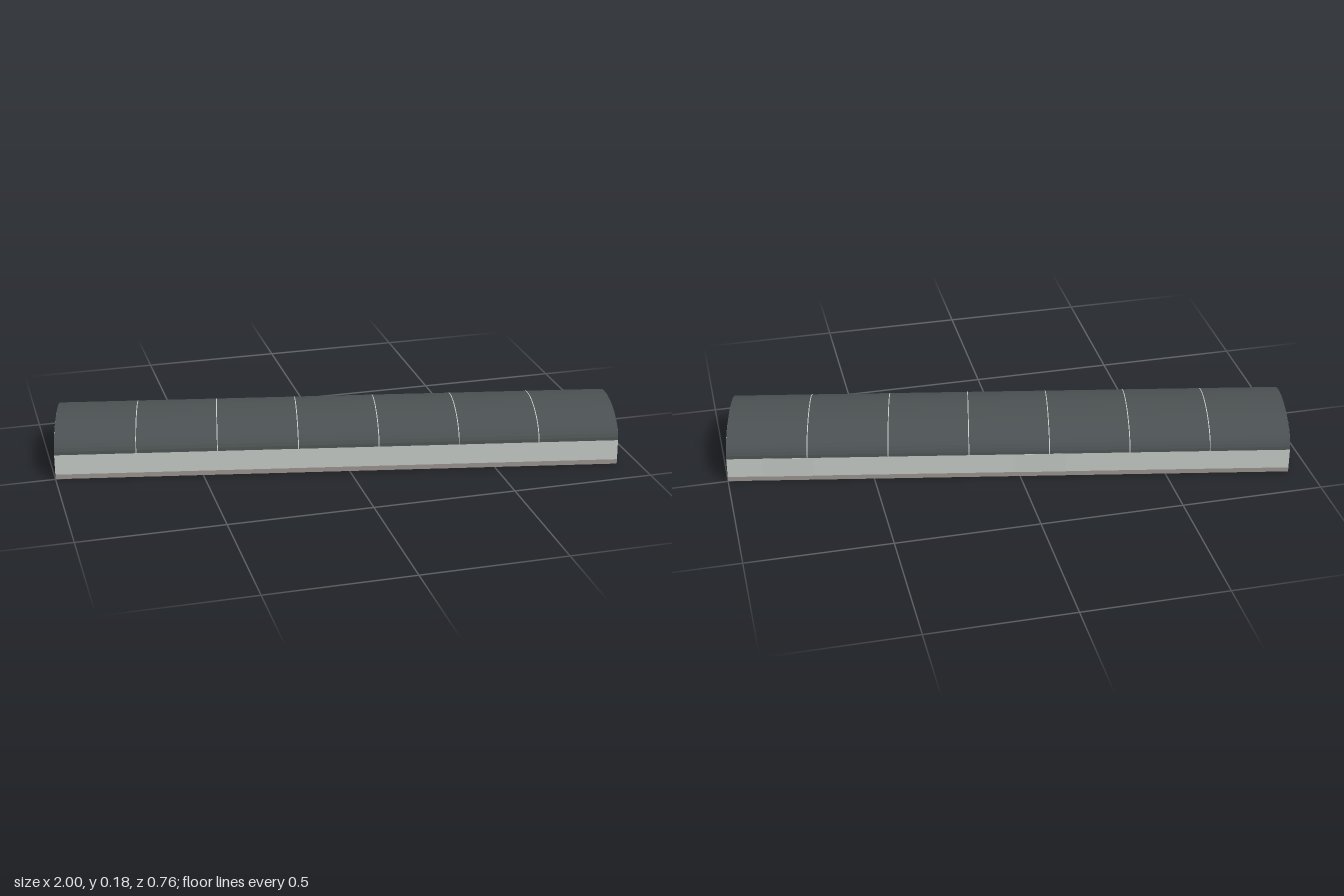
import * as THREE from 'three';

const LENGTH = 1.962, HALF_WIDTH = 0.1925;
const BASE_TOP = 0.017, EAVES = 0.09, RISE = 0.088, SEGMENTS = 24;

// points along an elliptical vault, from +x to -x, inset by a small amount
function vault(inset) {
  return Array.from({ length: SEGMENTS + 1 }, (_, i) => {
    const a = (i / SEGMENTS) * Math.PI;
    return new THREE.Vector2(
      (HALF_WIDTH - inset) * Math.cos(a),
      EAVES + (RISE - inset) * Math.sin(a));
  });
}

// extrudes a cross-section along the building's length, centred at x
function alongLength(points, length, x = 0) {
  const geometry = new THREE.ExtrudeGeometry(new THREE.Shape(points), { depth: length, bevelEnabled: false });
  geometry.translate(0, 0, -length / 2);
  geometry.rotateY(Math.PI / 2);
  geometry.translate(x, 0, 0);
  return geometry;
}

export function createModel() {
  const material = (name, color) => new THREE.MeshStandardMaterial({ name, color });
  const wallPaint = material('pale grey wall', 0xc3c9c4);
  const roofMetal = material('dark slate roof', 0x4b5152);
  const plinthStone = material('warm grey plinth', 0x9a948f);

  const building = new THREE.Group();
  building.name = 'building';
  const add = (name, geometry, mat) => {
    const mesh = new THREE.Mesh(geometry, mat);
    mesh.name = name;
    building.add(mesh);
    return mesh;
  };

  // plinth
  const plinth = add('plinth', new THREE.BoxGeometry(LENGTH, BASE_TOP, 2 * HALF_WIDTH), plinthStone);
  plinth.position.y = BASE_TOP / 2;

  // side walls and arched gables in one cross-section
  add('walls', alongLength([
    new THREE.Vector2(-HALF_WIDTH, BASE_TOP),
    new THREE.Vector2(HALF_WIDTH, BASE_TOP),
    ...vault(0.002),
  ], LENGTH), wallPaint);

  // curved roof sheet
  add('roof', alongLength([...vault(0), ...vault(0.003).reverse()], LENGTH - 0.001), roofMetal);

  // thin seams dividing the roof into seven bays
  for (let i = 1; i < 7; i++) {
    const x = (i / 7 - 0.5) * LENGTH;
    add('roofSeam' + i, alongLength([...vault(-0.0006), ...vault(0.002).reverse()], 0.003, x), wallPaint);
  }

  // flat panels on the back wall
  [0.77, -0.11].forEach((x, i) => {
    const panel = add('backPanel' + (i + 1), new THREE.BoxGeometry(0.176, EAVES - BASE_TOP, 0.002), wallPaint);
    panel.position.set(x, (EAVES + BASE_TOP) / 2, -HALF_WIDTH);
  });

  // the building stands at a slight angle
  building.rotation.y = -0.195;
  const model = new THREE.Group();
  model.name = 'vaultedHall';
  model.add(building);
  return model;
}
